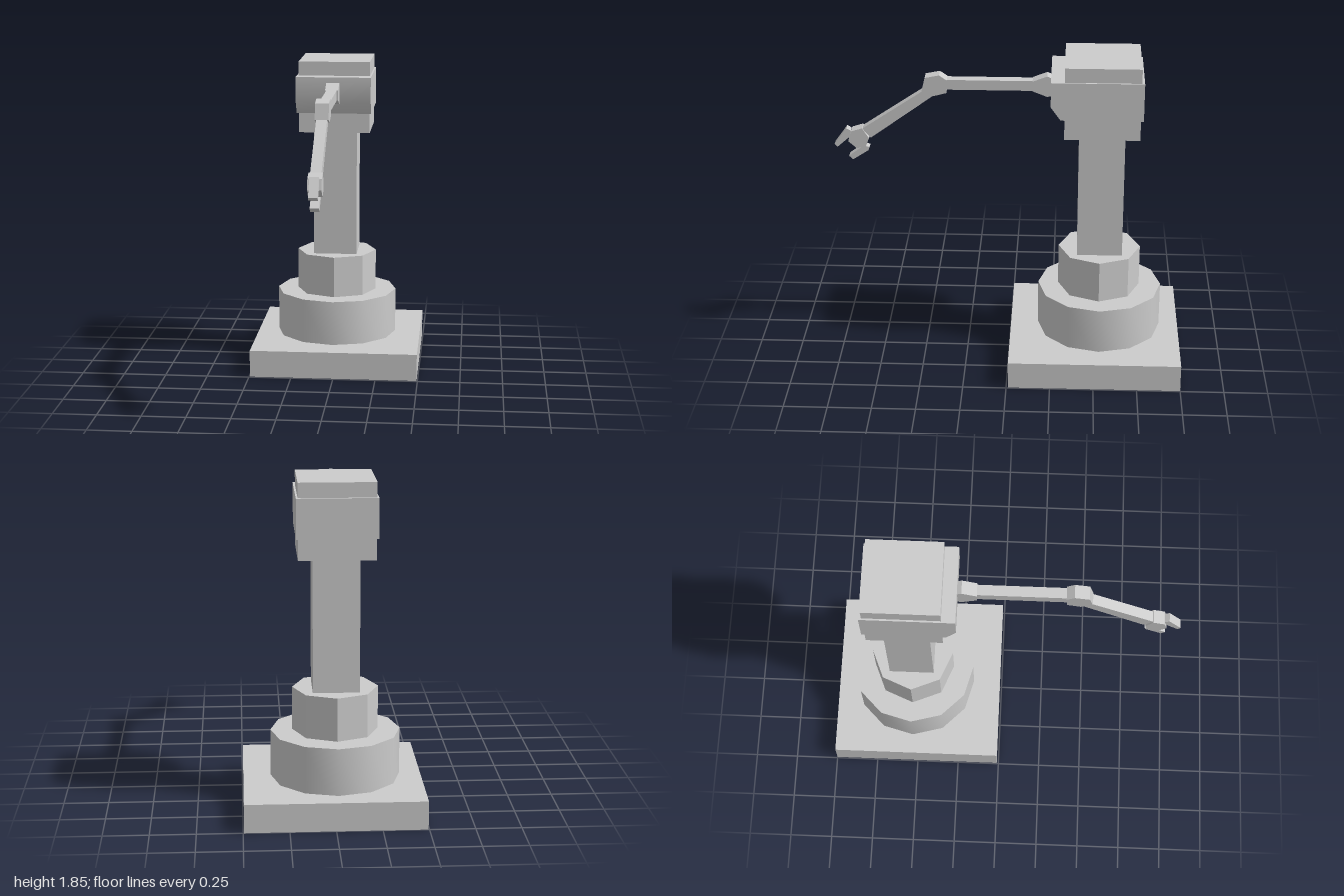
import * as THREE from 'three';
import { toCreasedNormals } from 'three/addons/utils/BufferGeometryUtils.js';

const CX = -0.018; // centre line of the robot in x
const CZ = -0.53; // vertical axis in z

export function createModel() {
  const model = new THREE.Group();
  const material = new THREE.MeshStandardMaterial({ color: 0xcccccc });
  const openMaterial = new THREE.MeshStandardMaterial({ color: 0xcccccc, side: THREE.DoubleSide });

  function add(name, geometry, x, y, z, mat = material) {
    const mesh = new THREE.Mesh(geometry, mat);
    mesh.name = name;
    mesh.position.set(x, y, z);
    model.add(mesh);
    return mesh;
  }

  // Box standing on y0
  function block(name, w, d, y0, y1, x, z) {
    return add(name, new THREE.BoxGeometry(w, y1 - y0, d), x, (y0 + y1) / 2, z);
  }

  // Side profile given as [z, y] points, extruded across x
  function profile(name, width, points, crease = 0.1) {
    const shape = new THREE.Shape(points.map(([z, y]) => new THREE.Vector2(z, y)));
    const geometry = new THREE.ExtrudeGeometry(shape, { depth: width, bevelEnabled: false });
    geometry.translate(0, 0, -width / 2).rotateY(-Math.PI / 2);
    return add(name, toCreasedNormals(geometry, crease), CX, 0, 0);
  }

  // Hollow base plate, open underneath
  const base = block('basePlate', 0.99, 0.99, 0, 0.16, 0, -0.505);
  const index = Array.from(base.geometry.index.array);
  index.splice(18, 6);
  base.geometry.setIndex(index);
  base.material = openMaterial;

  // Twelve-sided turntable whose open skirt reaches down into the base
  const ring = new THREE.LatheGeometry([
    new THREE.Vector2(0.36, 0.055), new THREE.Vector2(0.36, 0.425), new THREE.Vector2(0, 0.425),
  ], 12);
  add('turntable', toCreasedNormals(ring, 0.6), CX, 0, CZ, openMaterial);

  // Octagonal collar
  const collar = new THREE.CylinderGeometry(0.238, 0.238, 0.245, 8);
  add('collar', toCreasedNormals(collar, 0.1), CX, 0.547, CZ + 0.005);

  // Column and head
  block('column', 0.257, 0.26, 0.66, 1.43, CX, -0.525);
  block('headCore', 0.42, 0.423, 1.425, 1.845, CX, -0.523);
  profile('headHousing', 0.44, [
    [-0.235, 1.763], [-0.75, 1.763], [-0.75, 1.543], [-0.29, 1.543], [-0.235, 1.62],
  ], 0.7);

  // Arm joints
  const jointWidth = 0.076;
  profile('shoulderJoint', jointWidth, [
    [-0.13, 1.701], [-0.212, 1.733], [-0.26, 1.71], [-0.26, 1.62], [-0.212, 1.611], [-0.13, 1.643],
  ]);
  profile('elbowJoint', jointWidth, [
    [0.351, 1.701], [0.394, 1.73], [0.475, 1.714], [0.496, 1.627], [0.43, 1.605], [0.355, 1.625],
  ]);
  profile('wristJoint', jointWidth, [
    [0.839, 1.403], [0.903, 1.383], [0.92, 1.323], [0.872, 1.28], [0.818, 1.296], [0.8, 1.344],
  ]);

  // Arm links
  const linkWidth = 0.06;
  profile('upperArm', linkWidth, [[-0.15, 1.643], [0.38, 1.643], [0.38, 1.701], [-0.15, 1.701]]);
  profile('forearm', linkWidth, [[0.48, 1.638], [0.42, 1.612], [0.79, 1.344], [0.84, 1.397]]);

  // Gripper fingers
  const fingerWidth = 0.05;
  profile('upperFinger', fingerWidth, [
    [1.0, 1.3], [0.93, 1.397], [0.905, 1.383], [0.914, 1.344], [0.984, 1.282],
  ]);
  profile('lowerFinger', fingerWidth, [
    [0.92, 1.227], [0.834, 1.292], [0.8, 1.283], [0.807, 1.264], [0.898, 1.205],
  ]);

  return model;
}
